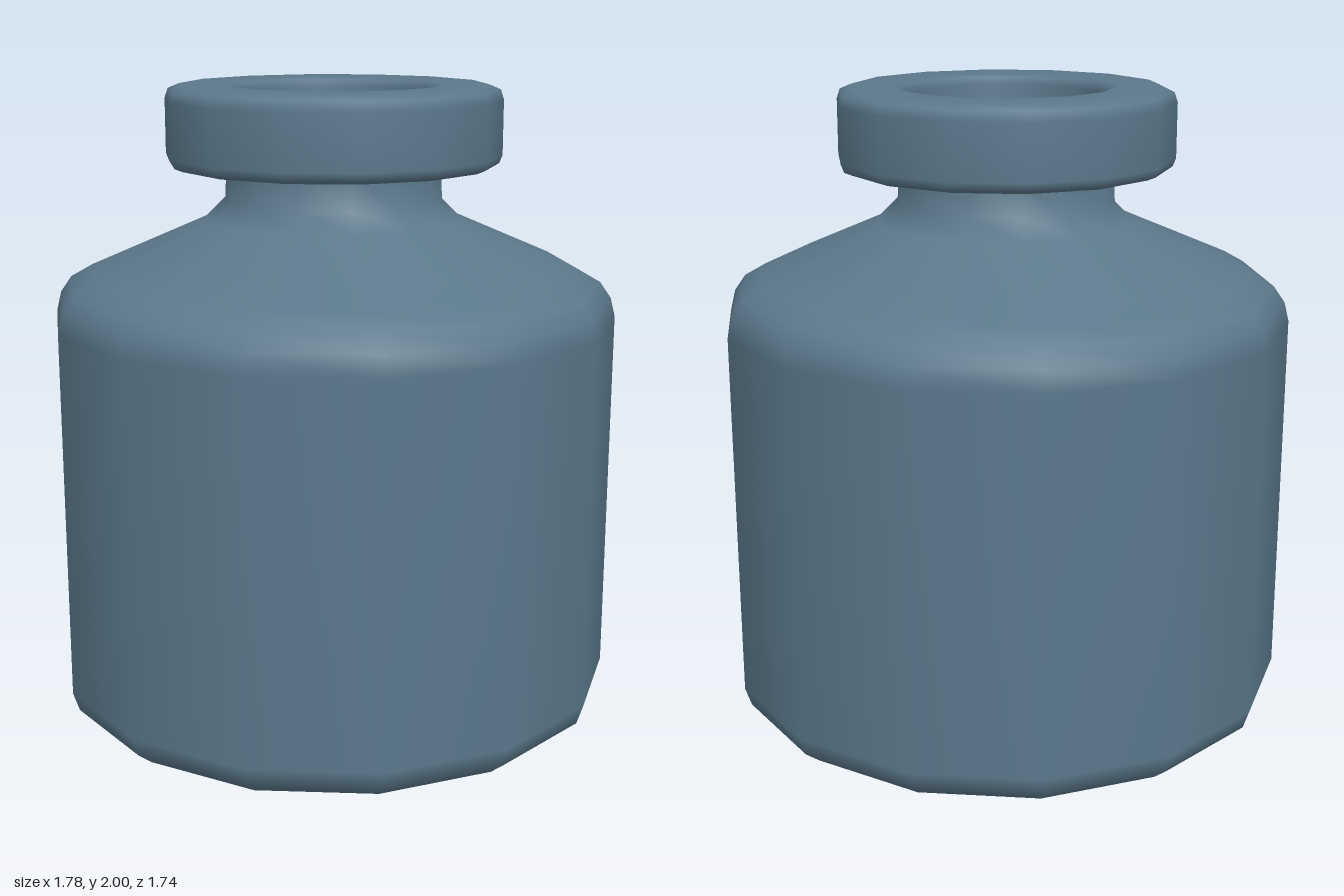
import * as THREE from 'three';

const SIDES = 14;

export function createModel() {
  const bottle = new THREE.Group();
  bottle.name = 'bottle';
  const material = new THREE.MeshStandardMaterial({ color: 0x5b788a });

  // Turns a [radius, height] profile, with one corner on the x axis
  function turned(name, profile) {
    const points = profile.map(([r, y]) => new THREE.Vector2(r, y));
    const mesh = new THREE.Mesh(new THREE.LatheGeometry(points, SIDES, Math.PI / 2), material);
    mesh.name = name;
    bottle.add(mesh);
  }

  // Rounded base, straight wall, sloping shoulder and neck
  turned('body', [
    [0, 0], [0.74, 0], [0.82, 0.02], [0.87, 0.06], [0.89, 0.12],
    [0.89, 1.28], [0.875, 1.34], [0.84, 1.39], [0.77, 1.43],
    [0.4, 1.59], [0.34, 1.65], [0.335, 1.75],
  ]);

  // Thick bevelled lip with a shallow recess closed by a floor
  turned('lip', [
    [0.33, 1.75], [0.49, 1.75], [0.515, 1.76], [0.525, 1.785],
    [0.525, 1.955], [0.515, 1.985], [0.48, 2],
    [0.34, 2], [0.32, 1.992], [0.31, 1.97],
    [0.31, 1.88], [0.3, 1.86], [0.28, 1.85], [0, 1.85],
  ]);

  return bottle;
}
